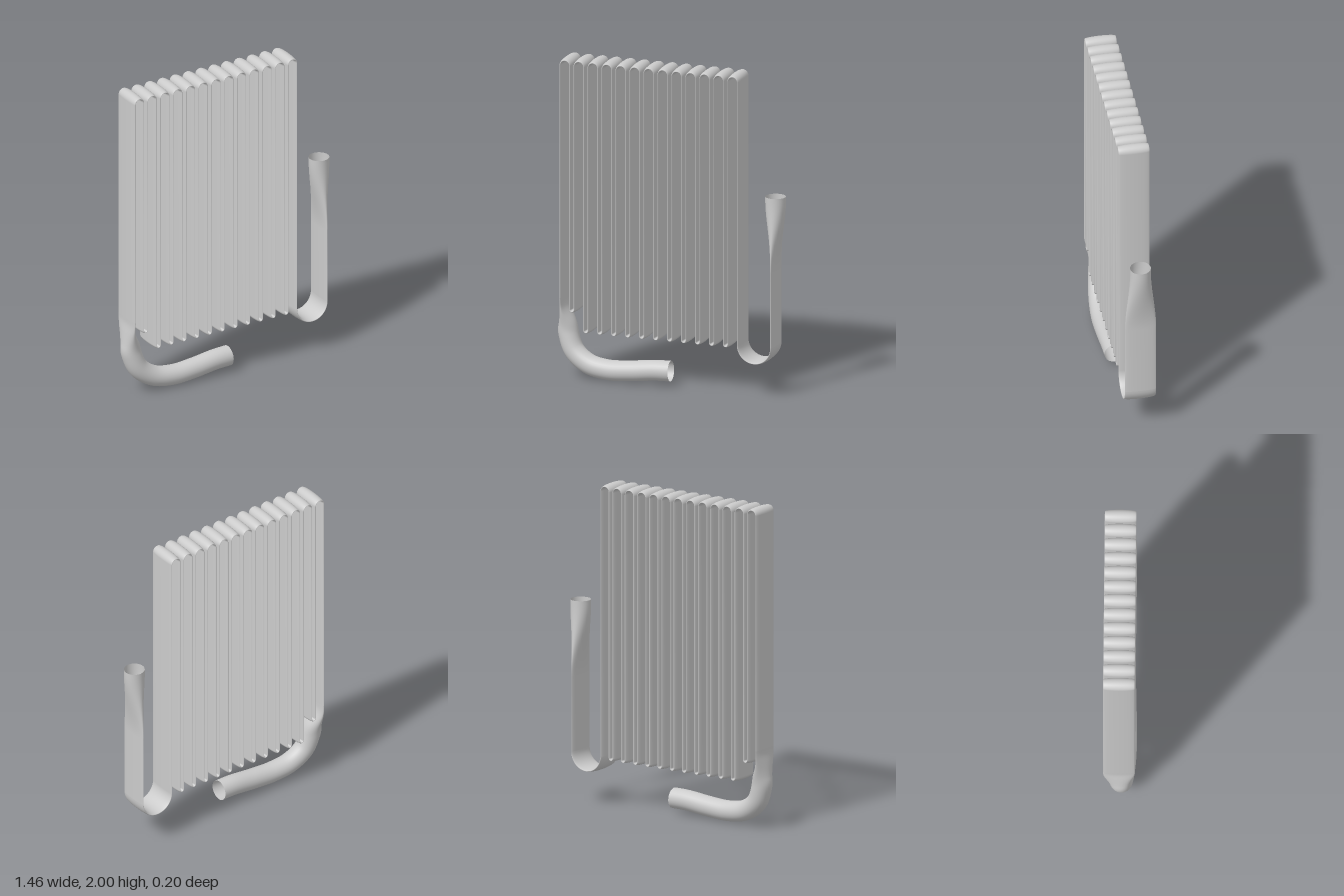
import * as THREE from 'three';

const SIDES = 28;
const Z0 = -0.005;                                    // mid-plane of the flattened coil
const FLAT = { h: 0.01, w: 0.096 }, ROUND = 0.063;    // half thickness / half width, round radius
const { lerp, smoothstep } = THREE.MathUtils;
const Z = new THREE.Vector3(0, 0, 1);

// One section of the pipe: position, direction, roundness (0 flat, 1 round)
const station = (p, t, round = 0) => ({ p, t, round });

// Stations along a circular bend in the xy plane
function bend(cx, cy, r, a0, a1, steps) {
  const out = [], s = Math.sign(a1 - a0);
  for (let i = 0; i <= steps; i++) {
    const a = lerp(a0, a1, i / steps), c = Math.cos(a), n = Math.sin(a);
    out.push(station(new THREE.Vector3(cx + r * c, cy + r * n, Z0), new THREE.Vector3(-s * n, s * c, 0)));
  }
  return out;
}

// Skin an elliptical section along the stations
function sweep(stations, name, material) {
  const pos = [], index = [];
  stations.forEach(({ p, t, round }, i) => {
    const b = Z.clone().addScaledVector(t, -t.z).normalize();
    const n = b.clone().cross(t);
    const h = lerp(FLAT.h, ROUND, round), w = lerp(FLAT.w, ROUND, round);
    for (let j = 0; j < SIDES; j++) {
      const a = (j / SIDES) * Math.PI * 2;
      const v = p.clone().addScaledVector(n, h * Math.cos(a)).addScaledVector(b, w * Math.sin(a));
      pos.push(v.x, v.y, v.z);
      if (i === stations.length - 1) continue;
      const k = (j + 1) % SIDES, A = i * SIDES + j, B = i * SIDES + k;
      index.push(A, B, A + SIDES, B, B + SIDES, A + SIDES);
    }
  });
  const geo = new THREE.BufferGeometry();
  geo.setAttribute('position', new THREE.Float32BufferAttribute(pos, 3));
  geo.setIndex(index);
  geo.computeVertexNormals();
  const mesh = new THREE.Mesh(geo, material);
  mesh.name = name;
  return mesh;
}

export function createModel() {
  const group = new THREE.Group();
  group.name = 'flattenedPipeCoil';
  const material = new THREE.MeshStandardMaterial({ color: 0xcccccc, side: THREE.DoubleSide });

  // Inlet: round curved pipe that flattens as it turns up into the coil
  const curve = new THREE.CatmullRomCurve3([
    [0, 0.094, 0.03], [-0.1, 0.091, 0.033], [-0.25, 0.074, 0.037], [-0.4, 0.066, 0.037],
    [-0.53, 0.09, 0.028], [-0.625, 0.16, 0.015], [-0.666, 0.26, 0.004], [-0.675, 0.33, -0.001],
    [-0.69, 0.42, Z0], [-0.692, 0.5, Z0],
  ].map(p => new THREE.Vector3(...p)));
  const inlet = [];
  for (let i = 0; i <= 70; i++) {
    const p = curve.getPointAt(i / 70);
    const round = p.x > -0.6 ? 1 : 1 - smoothstep(p.y, 0.27, 0.48);
    inlet.push(station(p, curve.getTangentAt(i / 70), round));
  }
  group.add(sweep(inlet, 'inletPipe', material));

  // Coil: thirteen tall loops, then one wide return bend
  const up = new THREE.Vector3(0, 1, 0);
  const coil = [station(new THREE.Vector3(-0.692, 0.5, Z0), up)];
  const LOOPS = 13, PITCH = 0.09, TOP_R = 0.031, LOW_R = 0.014;
  for (let k = 0; k < LOOPS; k++) {
    const cx = -0.661 + PITCH * k;
    coil.push(...bend(cx, 1.959, TOP_R, Math.PI, 0, 14));
    if (k < LOOPS - 1) {
      coil.push(...bend(cx + PITCH / 2, k === 0 ? 0.434 : 0.311, LOW_R, Math.PI, Math.PI * 2, 10));
    }
  }
  coil.push(...bend(0.557, 0.314, 0.107, Math.PI, Math.PI * 2, 28));
  group.add(sweep(coil, 'serpentineCoil', material));

  // Outlet: straight riser opening out to a round mouth
  const outlet = [station(new THREE.Vector3(0.664, 0.314, Z0), up)];
  for (let i = 0; i <= 24; i++) {
    const y = lerp(0.78, 1.243, i / 24);
    outlet.push(station(new THREE.Vector3(lerp(0.664, 0.662, i / 24), y, Z0), up, smoothstep(y, 0.78, 1.22)));
  }
  group.add(sweep(outlet, 'outletPipe', material));

  return group;
}
